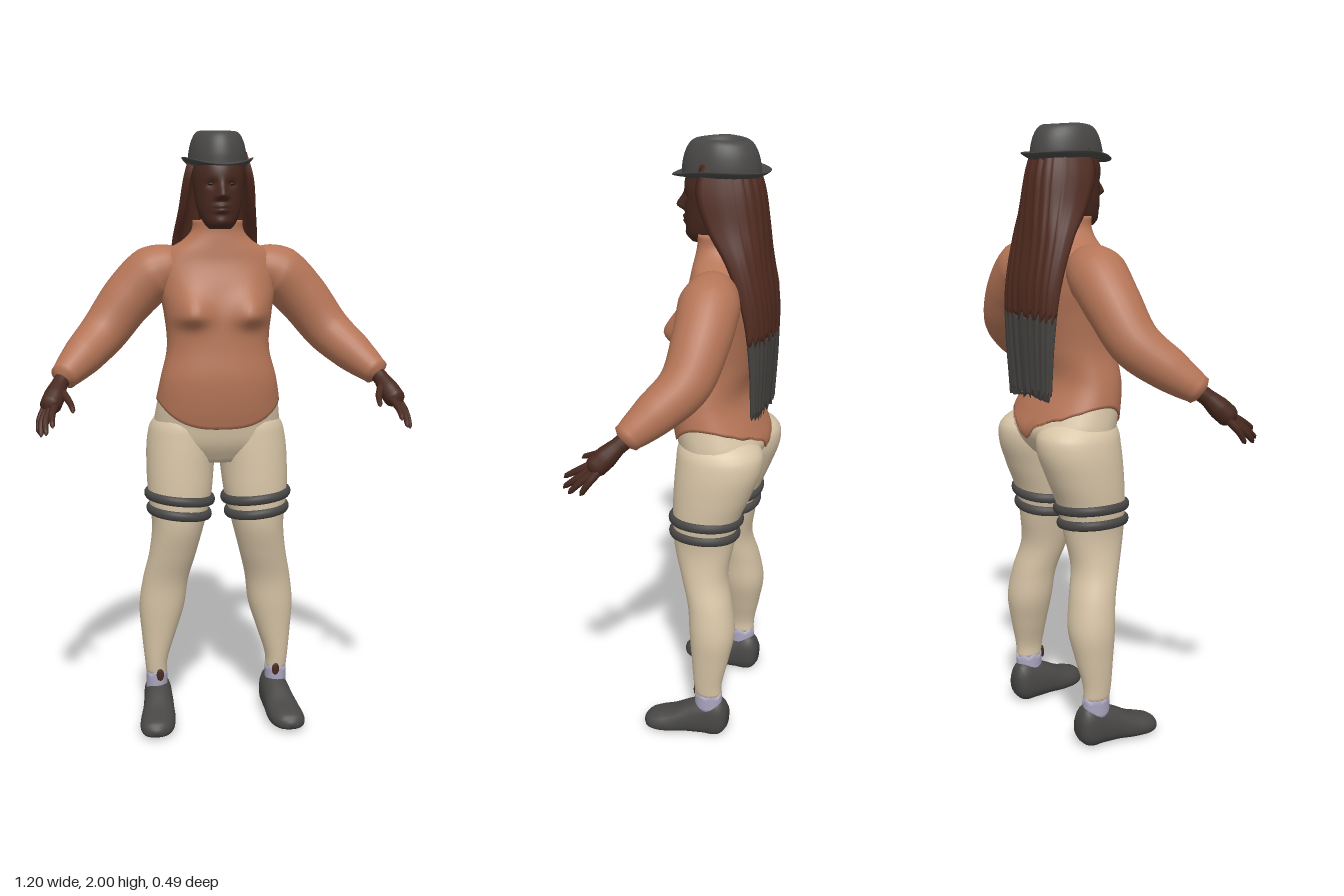
import * as THREE from 'three';
import { mergeVertices } from 'three/addons/utils/BufferGeometryUtils.js';

const material = (name, color) => new THREE.MeshStandardMaterial({ name, color });
const sgnPow = (n, p) => Math.sign(n) * Math.abs(n) ** p;
const bump = (d, w) => Math.exp(-((d / w) ** 2));

// Welds seams so the normals are smooth all round
function smooth(geo) {
  geo.deleteAttribute('normal');
  geo.deleteAttribute('uv');
  const g = mergeVertices(geo, 1e-5);
  g.computeVertexNormals();
  return g;
}

// Closed rings fn(u, v) stacked from v = 0 to 1, with both ends capped
function loft(nu, nv, fn, cap = true) {
  const pos = [], idx = [], rows = [];
  for (let i = 0; i <= nv; i++) {
    const ring = [];
    for (let j = 0; j < nu; j++) ring.push(fn(j / nu, i / nv));
    rows.push(ring);
  }
  rows.flat().forEach(p => pos.push(...p));
  const quad = (i, j) => {
    const a = i * nu + j, b = i * nu + (j + 1) % nu;
    idx.push(a, b, b + nu, a, b + nu, a + nu);
  };
  for (let i = 0; i < nv; i++) for (let j = 0; j < nu; j++) quad(i, j);
  if (cap) for (const row of [0, nv]) {
    const c = [0, 1, 2].map(k => rows[row].reduce((s, p) => s + p[k], 0) / nu);
    const n = pos.length / 3;
    pos.push(...c);
    for (let j = 0; j < nu; j++) {
      const a = row * nu + j, b = row * nu + (j + 1) % nu;
      idx.push(...(row ? [a, b, n] : [b, a, n]));
    }
  }
  const g = new THREE.BufferGeometry();
  g.setAttribute('position', new THREE.Float32BufferAttribute(pos, 3));
  g.setIndex(idx);
  return smooth(g);
}

// Smooth lookup in a table whose first column is the position
function table(rows) {
  const n = rows[0].length - 1;
  const c = new THREE.CubicInterpolant(rows.map(r => r[0]), rows.flatMap(r => r.slice(1)), n, new Array(n));
  return t => Array.from(c.evaluate(t));
}

// Point on a horizontal section given as [centre x, half width, front z, back z]
function around([cx, rx, zf, zb], u, y, grow = 0, p = 0.88) {
  const a = u * Math.PI * 2;
  return [cx + (rx + grow) * sgnPow(Math.sin(a), p), y,
    (zf + zb) / 2 + ((zf - zb) / 2 + grow) * sgnPow(Math.cos(a), p)];
}

// Tube through points [x, y, z, radius]
function limb(points, n = 24, sides = 20) {
  const curve = new THREE.CatmullRomCurve3(points.map(p => new THREE.Vector3(...p.slice(0, 3))));
  const g = new THREE.TubeGeometry(curve, n, 1, sides);
  const pos = g.attributes.position, v = new THREE.Vector3();
  for (let i = 0; i < pos.count; i++) {
    const s = Math.floor(i / (sides + 1)) / n;
    const t = curve.getUtoTmapping(s) * (points.length - 1);
    const k = Math.min(Math.floor(t), points.length - 2);
    const r = THREE.MathUtils.lerp(points[k][3], points[k + 1][3], t - k);
    const c = curve.getPointAt(s);
    v.fromBufferAttribute(pos, i).sub(c).multiplyScalar(r).add(c);
    pos.setXYZ(i, v.x, v.y, v.z);
  }
  return smooth(g);
}

export function createModel() {
  const model = new THREE.Group();
  model.name = 'figure';
  const skin = material('dark skin', 0x48291f), hairBrown = material('hair brown', 0x502b20);
  const shirtTan = material('shirt tan', 0xb57557), cream = material('trouser cream', 0xd8c5a7);
  const charcoal = material('charcoal', 0x484746), tipGrey = material('hair tip grey', 0x454340);
  const lavender = material('sock lavender', 0xaaa5bf), eyeDark = material('eye dark', 0x241511);

  const add = (name, geo, mat) => {
    const m = new THREE.Mesh(geo, mat);
    m.name = name;
    model.add(m);
    return m;
  };
  const pair = (name, geo, mat) => {
    add(name + 'Left', geo, mat);
    add(name + 'Right', geo, mat).scale.x = -1;
  };

  // Torso: shirt with a curved hem over the hips
  const body = table([
    [0.92, 0, 0.11, 0.0, -0.13], [0.98, 0, 0.205, 0.035, -0.2], [1.05, 0, 0.212, 0.052, -0.232],
    [1.1, 0, 0.206, 0.062, -0.21], [1.2, 0, 0.188, 0.07, -0.16], [1.3, 0, 0.165, 0.06, -0.172],
    [1.42, 0, 0.174, 0.05, -0.186], [1.5, 0, 0.19, 0.03, -0.19], [1.58, 0, 0.195, 0.005, -0.18],
    [1.62, 0, 0.16, 0.0, -0.165], [1.65, 0, 0.11, -0.003, -0.145], [1.68, 0, 0.082, -0.006, -0.13],
    [1.715, 0, 0.076, -0.004, -0.125]]);
  const hem = u => {
    const s = Math.abs(Math.sin(u * Math.PI * 2));
    return Math.cos(u * Math.PI * 2) > 0 ? 1.04 + 0.09 * s ** 2.5
      : 1.07 + 0.06 * s ** 2 - 0.05 * bump(s, 0.2) + 0.006 * Math.sin(u * 110) * (1 - s);
  };
  add('shirt', loft(72, 60, (u, v) => {
    const y = THREE.MathUtils.lerp(hem(u), 1.715, v);
    const p = around(body(y), u, y, 0.005);
    if (p[2] > -0.05) p[2] += 0.045 * bump(Math.abs(p[0]) - 0.1, 0.055) * bump(y - 1.41, y < 1.41 ? 0.035 : 0.07);
    return p;
  }), shirtTan);
  add('hips', loft(40, 16, (u, v) => around(body(0.92 + 0.26 * v), u, 0.92 + 0.26 * v)), cream);

  // Sleeves and hands
  pair('sleeve', limb([
    [0.1, 1.565, -0.09, 0.05], [0.15, 1.56, -0.092, 0.078], [0.21, 1.54, -0.097, 0.094],
    [0.29, 1.465, -0.098, 0.088], [0.375, 1.355, -0.075, 0.078], [0.45, 1.28, -0.005, 0.066],
    [0.505, 1.228, 0.052, 0.046], [0.518, 1.214, 0.066, 0.043], [0.519, 1.213, 0.067, 0.02]], 48, 24), shirtTan);
  pair('palm', limb([
    [0.51, 1.222, 0.055, 0.026], [0.525, 1.2, 0.08, 0.026], [0.54, 1.17, 0.11, 0.034],
    [0.555, 1.14, 0.14, 0.034], [0.56, 1.125, 0.155, 0.008]], 16, 14), skin);
  const fingers = {
    thumb: [[0.52, 1.185, 0.1], [0.495, 1.155, 0.155], [0.485, 1.132, 0.208]],
    indexFinger: [[0.54, 1.145, 0.145], [0.55, 1.12, 0.195], [0.548, 1.092, 0.24]],
    middleFinger: [[0.555, 1.135, 0.145], [0.57, 1.1, 0.195], [0.568, 1.068, 0.235]],
    ringFinger: [[0.565, 1.13, 0.14], [0.582, 1.095, 0.18], [0.584, 1.06, 0.212]],
    littleFinger: [[0.57, 1.135, 0.125], [0.588, 1.1, 0.15], [0.592, 1.064, 0.172]]
  };
  for (const [name, [a, b, c]] of Object.entries(fingers))
    pair(name, limb([[...a, 0.014], [...b, 0.011], [...c, 0.007],
      [c[0], c[1] - 0.004, c[2] + 0.003, 0.001]], 10, 8), skin);

  // Legs
  const leg = table([
    [0.16, 0.211, 0.036, -0.055, -0.145], [0.2, 0.213, 0.038, -0.05, -0.145], [0.3, 0.203, 0.058, -0.04, -0.165],
    [0.4, 0.191, 0.077, -0.03, -0.181], [0.5, 0.178, 0.078, -0.02, -0.167], [0.6, 0.155, 0.08, 0.01, -0.145],
    [0.7, 0.137, 0.088, 0.038, -0.158], [0.8, 0.13, 0.106, 0.044, -0.175], [0.9, 0.126, 0.114, 0.042, -0.215],
    [1.0, 0.118, 0.116, 0.036, -0.246], [1.05, 0.115, 0.104, 0.03, -0.236], [1.09, 0.11, 0.07, 0.01, -0.18]]);
  pair('leg', loft(36, 56, (u, v) => around(leg(0.16 + 0.93 * v), u, 0.16 + 0.93 * v, 0, 0.95)), cream);
  for (const [name, y0] of [['upperBand', 0.798], ['lowerBand', 0.748]])
    pair(name, loft(40, 12, (u, v) => {
      const a = v * Math.PI * 2;
      const p = around(leg(y0), u, y0, 0.003 - 0.011 * Math.cos(a), 0.95);
      p[1] += 0.1 * (p[0] - 0.13) - 0.016 * Math.sin(a);
      return p;
    }, false).scale(1, 1, 1), charcoal);

  // Ankles: socks with a small bare patch in front
  pair('sock', loft(24, 4, (u, v) => around([0.211, 0.037, -0.052, -0.147], u, 0.1 + 0.07 * v + 0.006 * Math.sin(u * 44) * v, 0, 1)), lavender);
  pair('anklePatch', new THREE.SphereGeometry(1, 12, 8).scale(0.013, 0.022, 0.004).translate(0.203, 0.165, -0.049), skin);

  // Shoes, lofted from heel to toe
  const shoe = table([
    [-0.165, 0.204, 0.028, 0.035, 0.11], [-0.15, 0.205, 0.041, 0.012, 0.136], [-0.08, 0.207, 0.05, 0.002, 0.134],
    [-0.03, 0.211, 0.053, 0.002, 0.114], [0.03, 0.218, 0.059, 0, 0.082], [0.08, 0.225, 0.056, 0.002, 0.066],
    [0.11, 0.229, 0.04, 0.008, 0.054], [0.122, 0.23, 0.02, 0.016, 0.04]]);
  pair('shoe', loft(28, 28, (u, v) => {
    const z = -0.165 + 0.287 * v, a = u * Math.PI * 2, [cx, w, lo, hi] = shoe(z);
    const s = Math.sin(a);
    return [cx + w * sgnPow(Math.cos(a), 0.75) * (s > 0 ? 1 - 0.25 * s : 1), (lo + hi) / 2 + (hi - lo) / 2 * sgnPow(s, 0.7), z];
  }), charcoal);
  pair('solePatch', new THREE.SphereGeometry(1, 14, 6).scale(0.02, 0.003, 0.04).translate(0.208, 0.002, -0.04), shirtTan);

  // Head with a modelled face
  const head = table([
    [1.685, 0, 0.035, 0.022, -0.05], [1.7, 0, 0.05, 0.034, -0.075], [1.74, 0, 0.068, 0.04, -0.11],
    [1.8, 0, 0.079, 0.042, -0.14], [1.87, 0, 0.083, 0.042, -0.155], [1.93, 0, 0.07, 0.015, -0.14]]);
  add('head', loft(64, 60, (u, v) => {
    const y = 1.685 + 0.245 * v, p = around(head(y), u, y, 0, 1);
    if (p[2] > -0.04) {
      const x = Math.abs(p[0]);
      p[2] += 0.03 * bump(x, 0.013) * bump(y - 1.79, y < 1.79 ? 0.012 : 0.032)
        + 0.009 * bump(x - 0.013, 0.01) * bump(y - 1.786, 0.01)
        + 0.011 * bump(x, 0.022) * (bump(y - 1.757, 0.007) + bump(y - 1.742, 0.007))
        + 0.006 * bump(x, 0.025) * bump(y - 1.705, 0.014)
        - 0.01 * bump(x - 0.032, 0.016) * bump(y - 1.825, 0.012);
    }
    return p;
  }), skin);
  add('neck', new THREE.CylinderGeometry(0.06, 0.066, 0.14, 24).translate(0, 1.7, -0.068), skin);
  pair('eye', new THREE.SphereGeometry(1, 14, 10).scale(0.012, 0.005, 0.005).translate(0.032, 1.826, 0.024), eyeDark);

  // Long hair: a curved sheet open at the front, [half width, front edge z, back z]
  const hair = table([
    [1.16, 0.122, -0.205, -0.232], [1.35, 0.138, -0.2, -0.243], [1.5, 0.146, -0.18, -0.244],
    [1.65, 0.142, -0.125, -0.224], [1.75, 0.126, -0.06, -0.214], [1.85, 0.112, -0.022, -0.2], [1.93, 0.09, -0.03, -0.175]]);
  const jag = u => 0.012 * Math.sin(u * 70) + 0.008 * Math.sin(u * 131);
  const hairPart = (lowY, highY) => loft(120, 30, (u, v) => {
    const outer = u < 0.5, t = outer ? u * 4 - 1 : 3 - u * 4;
    const lo = lowY + jag(t / 2), hi = highY > 1.9 ? highY : highY + jag(t / 2);
    const y = THREE.MathUtils.lerp(lo, hi, v), [w, zf, zb] = hair(y), a = t * Math.PI / 2;
    const ripple = 0.003 * Math.sin(t * 38 + y * 3) + 0.002 * Math.sin(t * 67);
    const inset = outer ? 0 : 0.022;
    return [-(w - inset * 0.9) * sgnPow(Math.sin(a), 0.85),
      y, zf + (zb - zf + (outer ? ripple : inset)) * Math.abs(Math.cos(a)) ** 0.7];
  });
  add('hair', hairPart(1.41, 1.93), hairBrown);
  add('hairTips', hairPart(1.165, 1.41), tipGrey);

  // Hat: pinched crown and curled brim, [scale, height]
  const crown = table([
    [0, 1.0, 1.885], [0.2, 0.98, 1.925], [0.4, 0.89, 1.965], [0.55, 0.75, 1.99],
    [0.65, 0.6, 1.997], [0.8, 0.36, 1.977], [1, 0.03, 1.965]]);
  add('hatCrown', loft(48, 36, (u, v) => {
    const [s, y] = crown(v), a = u * Math.PI * 2, c = Math.cos(a);
    const pinch = 1 - 0.22 * v * Math.max(0, c);
    return [0.096 * s * Math.sin(a) * pinch, y - 0.012 * Math.abs(c) * s * v, -0.07 + 0.122 * s * c];
  }), charcoal);
  add('hatBrim', loft(56, 14, (u, v) => {
    const a = u * Math.PI * 2, b = v * Math.PI * 2;
    const k = 0.5 - 0.5 * Math.cos(b), c = Math.cos(a), s = Math.sin(a);
    const y = 1.888 + k * (0.026 * s * s + (c < 0 ? 0.018 * c * c : -0.004 * c));
    return [(0.088 + 0.028 * k) * s, y - 0.005 * Math.sin(b), -0.07 + (0.11 + 0.042 * k) * c];
  }, false), charcoal);

  return model;
}
